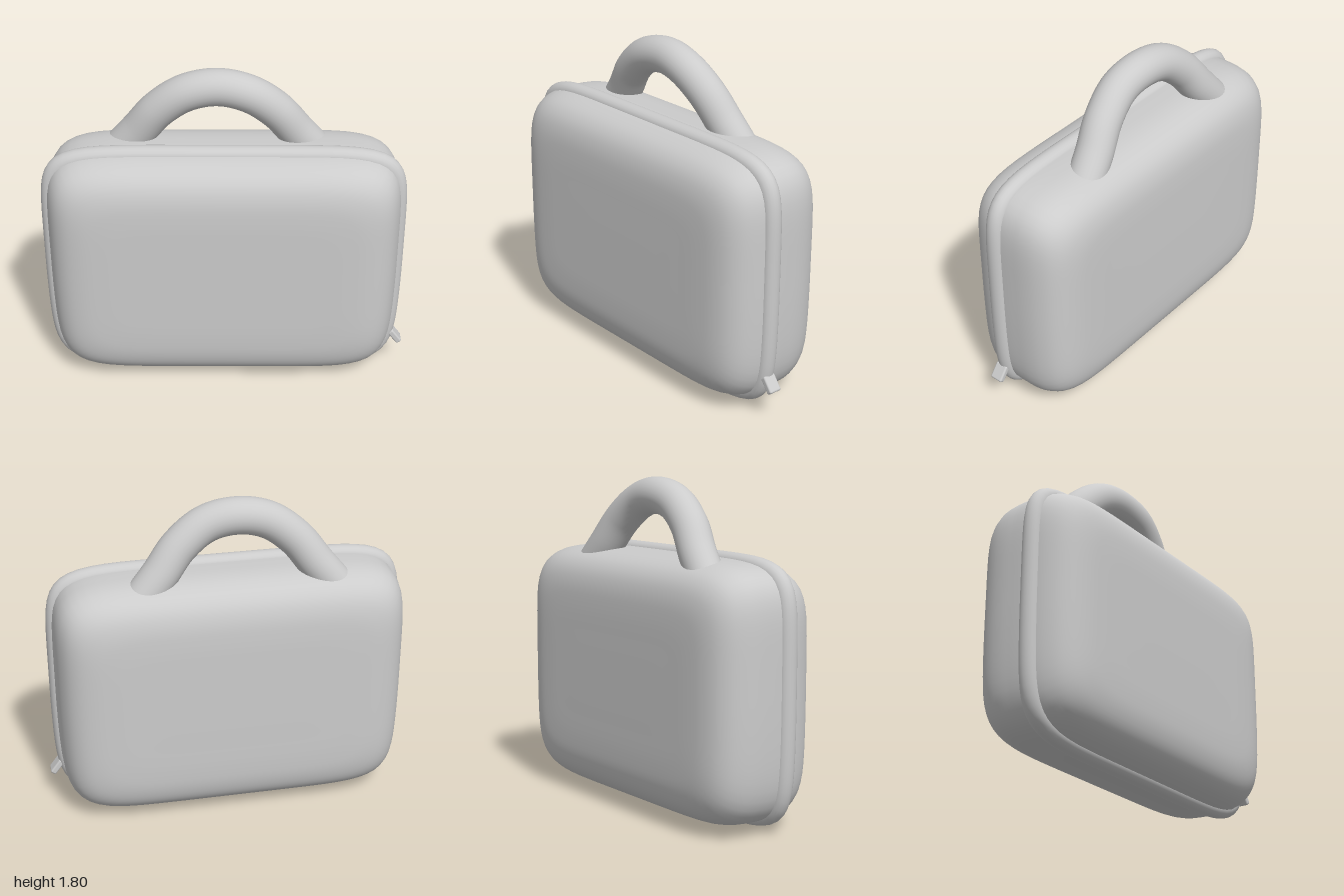
import * as THREE from 'three';
import { RoundedBoxGeometry } from 'three/addons/geometries/RoundedBoxGeometry.js';

const CX = -0.015, CY = 0.712; // centre of the case outline
const AROUND = 96;

// Point on a soft rectangle with half sizes a, b, slightly narrower at the foot
function outline(k, a, b, z) {
  const s = (k / AROUND) * 4, side = Math.floor(s) % 4, f = (s % 1) * 2 - 1;
  const [u, v] = [[1, f], [-f, 1], [-1, -f], [f, -1]][side];
  const n = 7, r = Math.pow(Math.abs(u) ** n + Math.abs(v) ** n, -1 / n);
  const y = v * r * b;
  const taper = y < 0 ? 1 - 0.03 * (y / 0.7) ** 2 : 1;
  return [CX + u * r * a * taper, CY + y, z];
}

// Skin a list of closed sections; optionally join the last to the first
function skin(sections, loop) {
  const pos = [], idx = [], n = sections.length;
  for (const { a, b, z } of sections)
    for (let k = 0; k < AROUND; k++) pos.push(...outline(k, a, b, z));
  for (let i = 0; i < (loop ? n : n - 1); i++) {
    for (let k = 0; k < AROUND; k++) {
      const p = i * AROUND + k, q = i * AROUND + (k + 1) % AROUND;
      const r = ((i + 1) % n) * AROUND + k, s = ((i + 1) % n) * AROUND + (k + 1) % AROUND;
      idx.push(p, q, s, p, s, r);
    }
  }
  const g = new THREE.BufferGeometry();
  g.setAttribute('position', new THREE.Float32BufferAttribute(pos, 3));
  g.setIndex(idx);
  g.computeVertexNormals();
  return g;
}

export function createModel() {
  const group = new THREE.Group();
  const mat = new THREE.MeshStandardMaterial({ color: 0xcccccc });
  const add = (name, geometry) => {
    const m = new THREE.Mesh(geometry, mat);
    m.name = name;
    group.add(m);
    return m;
  };

  // Padded case: half profile of (inset, depth), mirrored front to back
  const A = 0.955, B = 0.685;
  const curve = new THREE.CatmullRomCurve3([
    [0, 0], [0.004, 0.1], [0.02, 0.175], [0.055, 0.242], [0.11, 0.288],
    [0.19, 0.315], [0.3, 0.325], [0.45, 0.327], [0.66, 0.328],
  ].map(([d, z]) => new THREE.Vector3(d, z, 0)));
  const half = curve.getPoints(32).map((p) => ({ a: A - p.x, b: B - p.x, z: p.y }));
  const tip = { a: 0.0001, b: 0.0001, z: 0.328 };
  const front = [...half, tip];
  const back = front.slice(1).reverse().map((s) => ({ ...s, z: -s.z }));
  add('case', skin([...back, ...front], false));

  // Raised zip band running round the case
  const band = [];
  for (let i = 0; i < 20; i++) {
    const t = (i / 20) * Math.PI * 2, out = 0.045 * Math.cos(t);
    band.push({ a: 0.938 + out, b: 0.667 + out, z: 0.083 + 0.052 * Math.sin(t) });
  }
  add('zipBand', skin(band, true));

  // Arched handle, leaning back towards its feet
  const hx = -0.05;
  const leg = [[0.52, 1.3, -0.13], [0.42, 1.42, -0.11], [0.31, 1.56, -0.08], [0.165, 1.665, -0.06]];
  const path = [
    ...leg.map(([x, y, z]) => new THREE.Vector3(hx - x, y, z)),
    new THREE.Vector3(hx, 1.7, -0.055),
    ...leg.slice().reverse().map(([x, y, z]) => new THREE.Vector3(hx + x, y, z + 0.01)),
  ];
  add('handle', new THREE.TubeGeometry(new THREE.CatmullRomCurve3(path), 60, 0.1, 28));

  // Zip pull at the lower left corner
  const pull = add('zipPull', new RoundedBoxGeometry(0.035, 0.095, 0.075, 3, 0.01));
  pull.position.set(0.955, 0.2, 0.087);
  pull.rotation.z = 0.65;

  return group;
}
